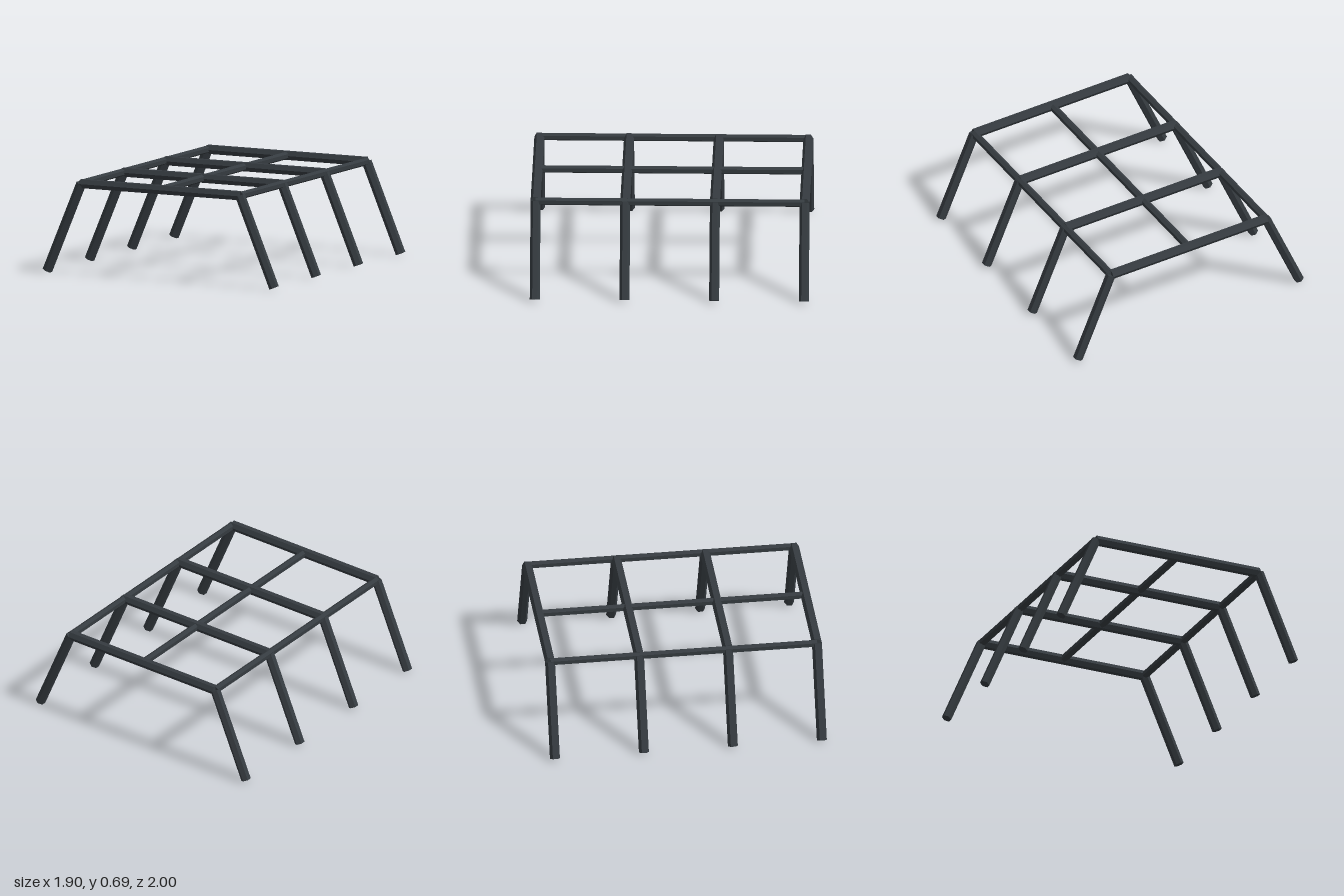
import * as THREE from 'three';

const Z_END = 0.964, X_TOP = 0.645, Y_TOP = 0.66;
const FRAME_R = 0.036, RAIL_R = 0.028;

export function createModel() {
  const model = new THREE.Group();
  model.name = 'tubeFrame';
  const steel = new THREE.MeshStandardMaterial({ color: 0x353b40, flatShading: true });
  steel.name = 'dark slate';

  // Closed hexagonal bar between two points
  function bar(name, a, b, radius, parent) {
    const from = new THREE.Vector3(...a), to = new THREE.Vector3(...b);
    const dir = to.clone().sub(from);
    const mesh = new THREE.Mesh(new THREE.CylinderGeometry(radius, radius, dir.length(), 6), steel);
    mesh.name = name;
    mesh.position.copy(from).add(to).multiplyScalar(0.5);
    mesh.quaternion.setFromUnitVectors(new THREE.Vector3(0, 1, 0), dir.normalize());
    parent.add(mesh);
  }

  // Four arches: a crossbar on two splayed legs
  for (let i = 0; i < 4; i++) {
    const z = Z_END * (1 - (2 * i) / 3);
    const arch = new THREE.Group();
    arch.name = 'arch' + (i + 1);
    bar('crossbar', [-X_TOP, Y_TOP, z], [X_TOP, Y_TOP, z], FRAME_R, arch);
    for (const s of [1, -1]) {
      bar(s > 0 ? 'leftLeg' : 'rightLeg', [s * X_TOP, Y_TOP, z], [s * 0.92, 0.012, z], FRAME_R, arch);
    }
    model.add(arch);
  }

  // Three long rails tying the arches together
  [['rightRail', -X_TOP], ['centreRail', 0], ['leftRail', X_TOP]].forEach(([name, x]) =>
    bar(name, [x, Y_TOP, -Z_END], [x, Y_TOP, Z_END], RAIL_R, model));

  return model;
}
